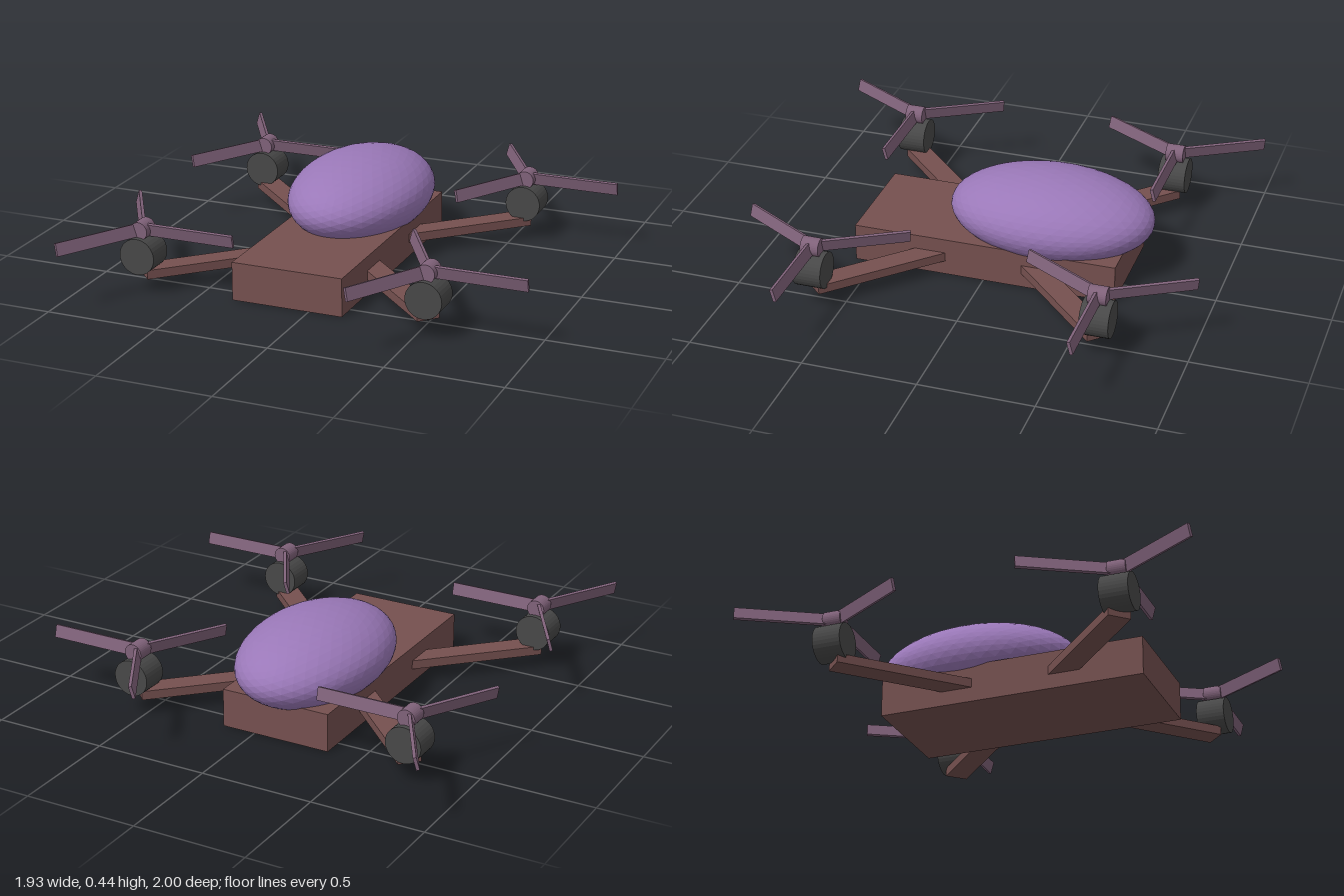
import * as THREE from 'three';

const mat = (color) => new THREE.MeshStandardMaterial({ color, flatShading: true });

function addMesh(parent, name, geometry, material, x = 0, y = 0, z = 0) {
  const mesh = new THREE.Mesh(geometry, material);
  mesh.name = name;
  mesh.position.set(x, y, z);
  parent.add(mesh);
  return mesh;
}

export function createModel() {
  const bodyMat = mat(0x75504f);
  const podMat = mat(0x9a78b8);
  const motorMat = mat(0x484848);
  const bladeMat = mat(0x80627a);

  const model = new THREE.Group();
  model.name = 'quadcopter';
  const cx = -0.1; // the body sits off centre because the blades reach further to +x

  // Body slab and egg-shaped canopy towards the back
  addMesh(model, 'body', new THREE.BoxGeometry(0.5, 0.17, 1.18), bodyMat, cx, 0.085, 0);
  const pod = new THREE.IcosahedronGeometry(1, 7).scale(0.302, 0.181, 0.455);
  addMesh(model, 'canopy', pod, podMat, cx, 0.255, -0.237);

  // Shared parts
  const dx = 0.645, dz = 0.627;
  const armLength = Math.hypot(dx, dz);
  const armGeo = new THREE.BoxGeometry(armLength, 0.04, 0.1).translate(armLength / 2, 0, 0);
  const motorGeo = new THREE.CylinderGeometry(0.08, 0.08, 0.125, 32).rotateX(Math.PI / 2);
  const hubGeo = new THREE.CylinderGeometry(0.04, 0.04, 0.08, 32).rotateX(Math.PI / 2);
  // Blade pitched about its own length, root at the hub centre
  const bladeGeo = new THREE.BoxGeometry(0.42, 0.056, 0.014)
    .rotateX(THREE.MathUtils.degToRad(15))
    .translate(0.21, 0, 0);

  for (const sz of [1, -1]) {
    for (const sx of [1, -1]) {
      const corner = (sz > 0 ? 'front' : 'back') + (sx > 0 ? 'Left' : 'Right');

      // Arm from the body centre out to the motor
      const arm = addMesh(model, corner + 'Arm', armGeo, bodyMat, cx, 0.085, 0);
      arm.rotation.y = Math.atan2(-sz * dz, sx * dx);

      // Motor with its three-bladed propeller
      const x = cx + sx * dx, z = sz * dz;
      addMesh(model, corner + 'Motor', motorGeo, motorMat, x, 0.17, z);
      const propeller = new THREE.Group();
      propeller.name = corner + 'Propeller';
      propeller.position.set(x, 0.277, z);
      addMesh(propeller, 'hub', hubGeo, bladeMat);
      for (let i = 0; i < 3; i++) {
        addMesh(propeller, 'blade', bladeGeo, bladeMat).rotation.y = (i * Math.PI * 2) / 3;
      }
      model.add(propeller);
    }
  }
  return model;
}
